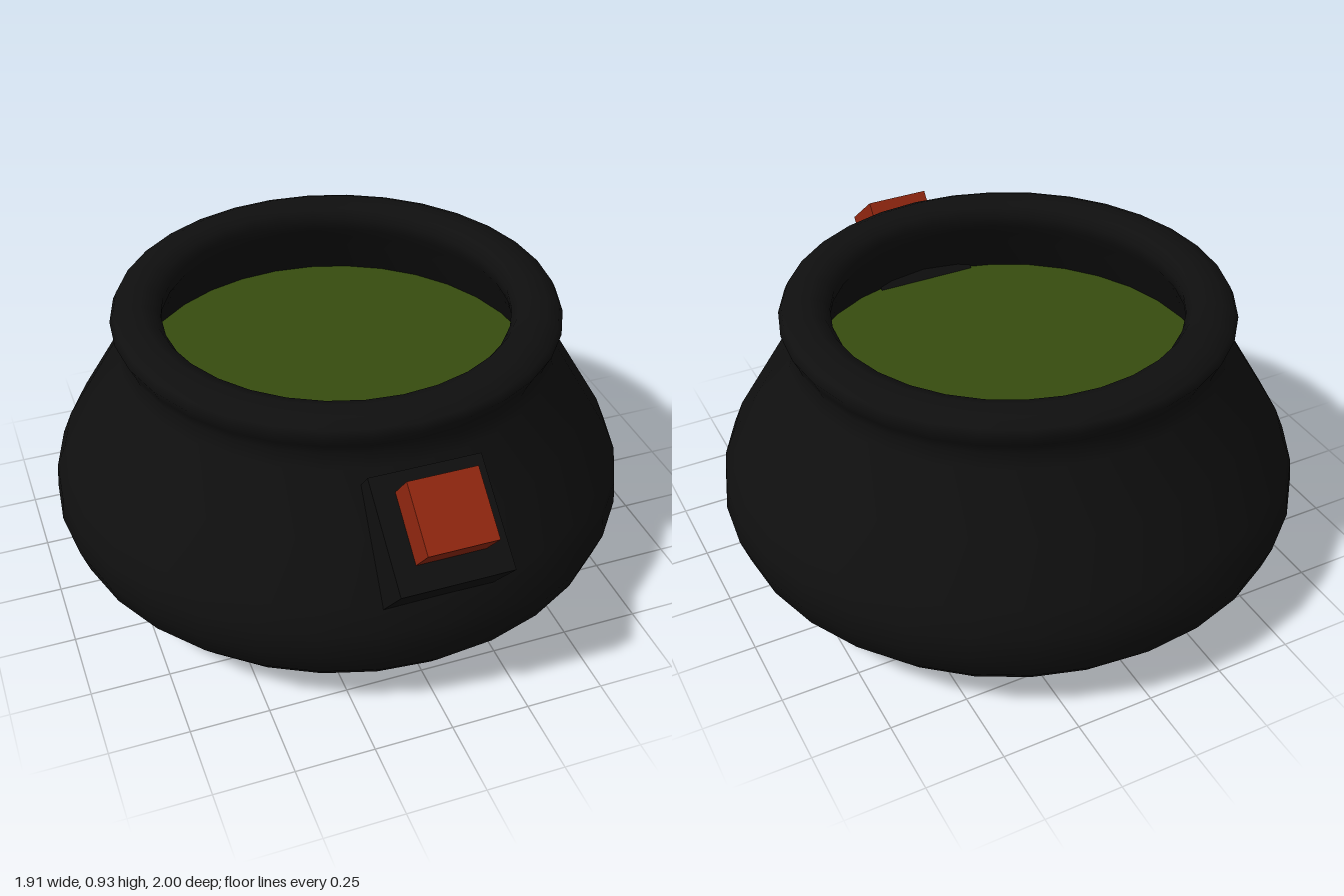
import * as THREE from 'three';

export function createModel() {
  const iron = new THREE.MeshStandardMaterial({ color: 0x0f0f0f });
  iron.name = 'black iron';
  const brew = new THREE.MeshStandardMaterial({ color: 0x364c0f });
  brew.name = 'green brew';
  const red = new THREE.MeshStandardMaterial({ color: 0x90260f });
  red.name = 'red';

  const model = new THREE.Group();
  model.name = 'cauldron';
  const add = (name, geometry, material, x, y, z, tilt = 0) => {
    const mesh = new THREE.Mesh(geometry, material);
    mesh.name = name;
    mesh.position.set(x, y, z);
    mesh.rotation.x = tilt;
    model.add(mesh);
  };

  const centreZ = -0.047;
  const segments = 32;

  // Pot: outside from the base up, over the rolled rim and down the inner wall
  const profile = [
    [0, 0], [0.53, 0], [0.66, 0.02], [0.78, 0.055], [0.865, 0.105], [0.925, 0.175],
    [0.953, 0.26], [0.945, 0.34], [0.912, 0.42], [0.81, 0.59], [0.705, 0.765],
    [0.692, 0.815], [0.705, 0.85], [0.722, 0.885], [0.71, 0.91], [0.67, 0.928],
    [0.62, 0.934], [0.58, 0.92], [0.56, 0.89], [0.565, 0.85], [0.59, 0.81],
    [0.61, 0.76], [0.68, 0.62],
  ].map(([r, y]) => new THREE.Vector2(r, y));
  add('pot', new THREE.LatheGeometry(profile, segments), iron, 0, 0, centreZ);

  // Liquid surface inside the pot
  const surface = new THREE.CircleGeometry(0.675, segments * 2).rotateX(-Math.PI / 2);
  add('liquid', surface, brew, 0, 0.638, centreZ);

  // Tilted block on the front with a red button on it
  const tilt = 0.68;
  add('buttonHousing', new THREE.BoxGeometry(0.35, 0.34, 0.35), iron, 0, 0.548, 0.738, tilt);
  add('button', new THREE.BoxGeometry(0.215, 0.21, 0.215), red, 0, 0.703, 0.849, tilt);

  return model;
}
